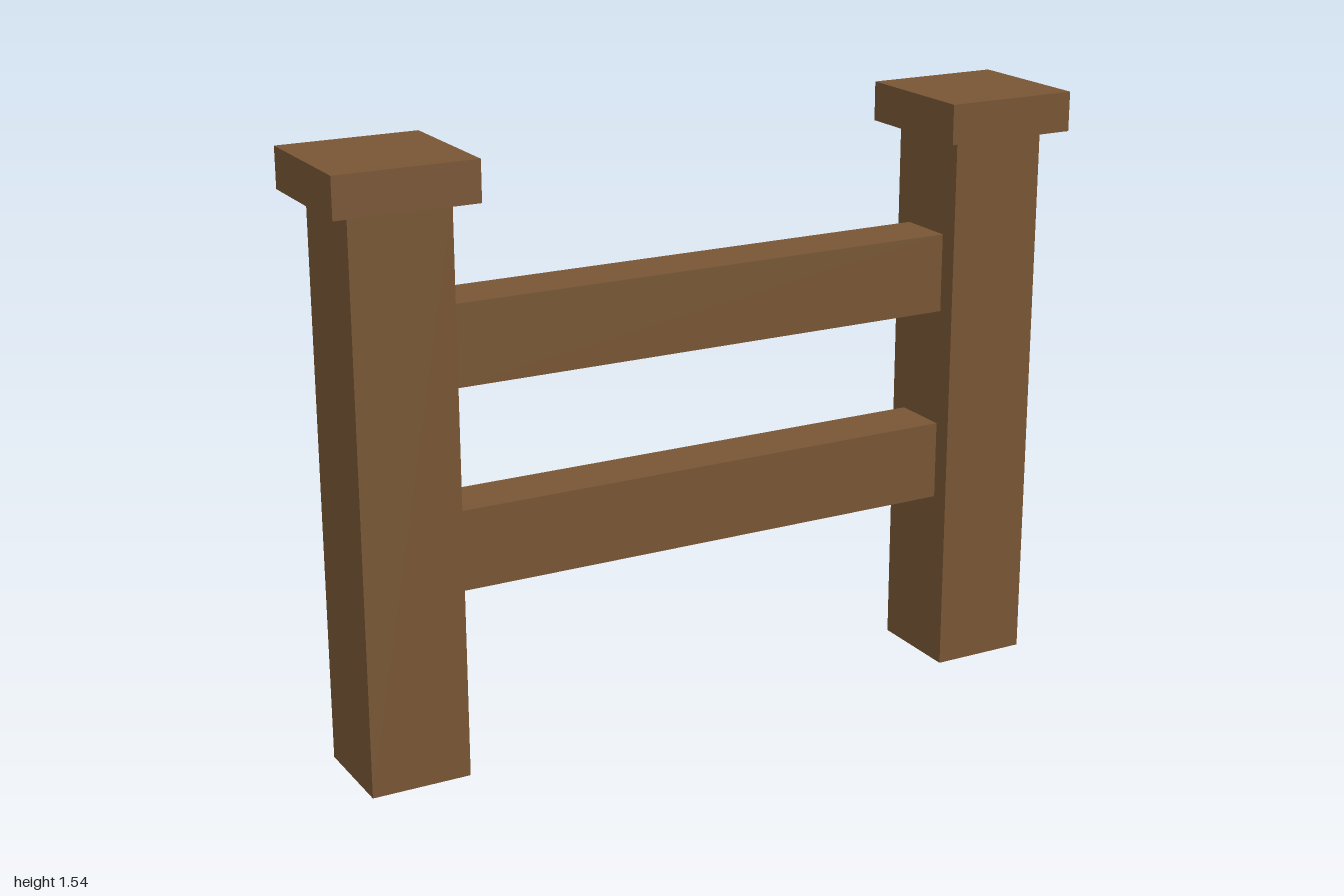
import * as THREE from 'three';

export function createModel() {
  const group = new THREE.Group();
  const wood = new THREE.MeshStandardMaterial({ color: 0x785634 });
  wood.name = 'brown wood';

  // Box given by its size, centre x and bottom height
  function addBox(name, w, h, d, x, bottom) {
    const mesh = new THREE.Mesh(new THREE.BoxGeometry(w, h, d), wood);
    mesh.name = name;
    mesh.position.set(x, bottom + h / 2, 0);
    group.add(mesh);
  }

  // Square posts with overhanging caps
  for (const [side, s] of [['left', 1], ['right', -1]]) {
    addBox(side + 'Post', 0.256, 1.438, 0.256, s * 0.82, 0);
    addBox(side + 'PostCap', 0.358, 0.102, 0.358, s * 0.821, 1.438);
  }

  // Horizontal rails between the posts
  addBox('lowerRail', 1.386, 0.205, 0.154, 0, 0.464);
  addBox('upperRail', 1.386, 0.205, 0.154, 0, 0.976);

  return group;
}
